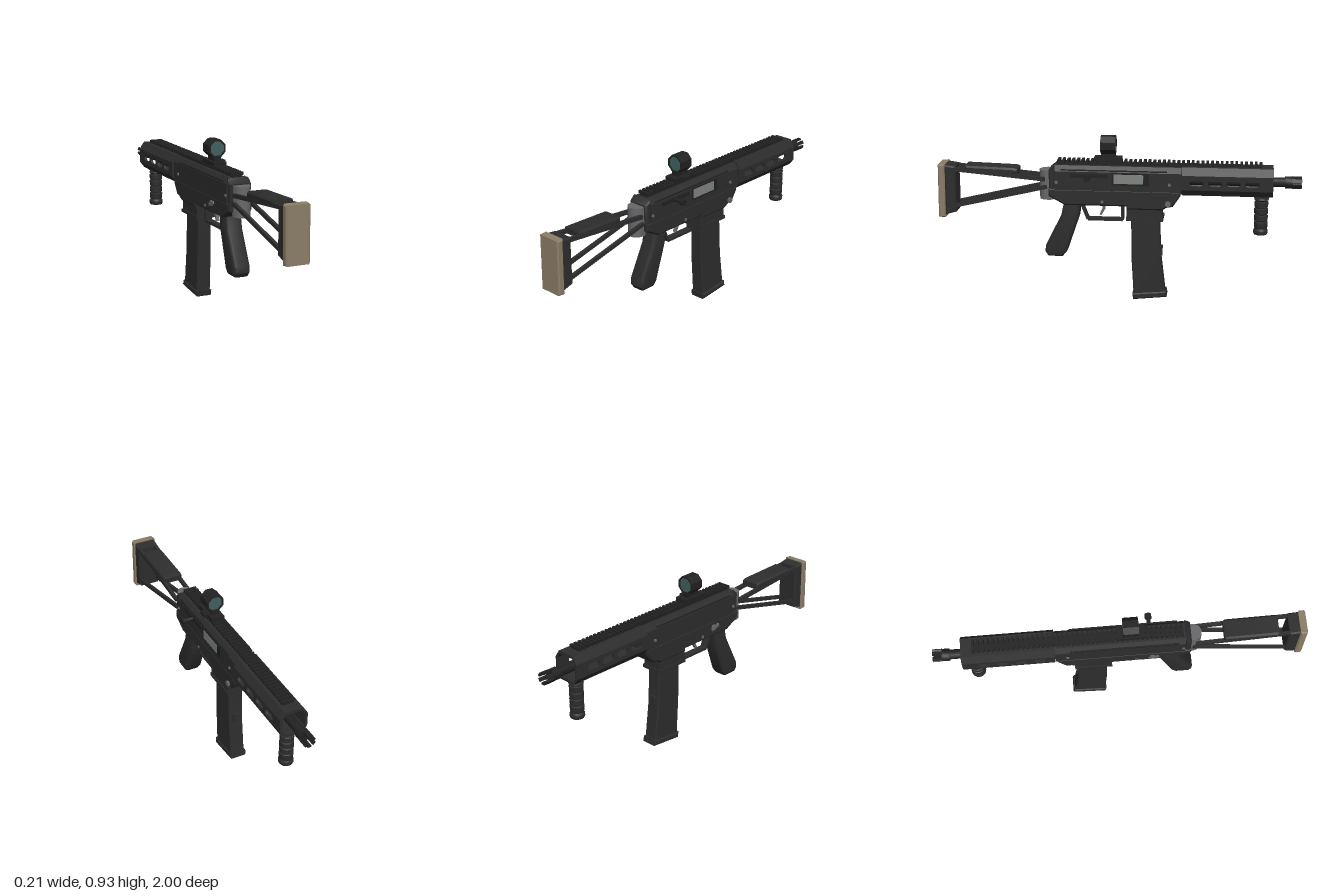
import * as THREE from 'three';
import { toCreasedNormals } from 'three/addons/utils/BufferGeometryUtils.js';

export function createModel() {
  const root = new THREE.Group();
  root.name = 'model';
  const body = new THREE.Group();
  body.name = 'carbine';
  body.position.x = -0.027;
  root.add(body);

  const mat = (name, color) => {
    const m = new THREE.MeshStandardMaterial({ color });
    m.name = name;
    return m;
  };
  const black = mat('matte black', 0x2d2d2e);
  const dark = mat('dark steel', 0x222223);
  const tan = mat('tan rubber', 0x8b7d67);
  const grey = mat('grey metal', 0x68686b);
  const bolt = mat('pale bolt metal', 0x7f8582);
  const glass = mat('teal glass', 0x41605f);

  const add = (name, geo, material, x = 0, y = 0, z = 0) => {
    const m = new THREE.Mesh(geo, material);
    m.name = name;
    m.position.set(x, y, z);
    body.add(m);
    return m;
  };
  const box = (name, material, w, h, d, x, y, z) =>
    add(name, new THREE.BoxGeometry(w, h, d), material, x, y, z);
  const toShape = (pts) => new THREE.Shape(pts.map((p) => new THREE.Vector2(p[0], p[1])));

  // Side outline of [z, y] points, extruded across x with chamfered edges
  const side = (name, material, shape, width, bevel = 0, x = 0, segments = 1) => {
    const s = Array.isArray(shape) ? toShape(shape) : shape;
    const g = new THREE.ExtrudeGeometry(s, {
      depth: width - 2 * bevel, bevelEnabled: bevel > 0, bevelSize: bevel,
      bevelThickness: bevel, bevelOffset: -bevel, bevelSegments: segments, curveSegments: 6,
    });
    g.translate(0, 0, -(width - 2 * bevel) / 2);
    g.rotateY(-Math.PI / 2);
    return add(name, toCreasedNormals(g, 0.6), material, x);
  };
  // Cross-section of [x, y] points, extruded from z0 to z1
  const along = (name, material, pts, z0, z1) =>
    add(name, new THREE.ExtrudeGeometry(toShape(pts), { depth: z1 - z0, bevelEnabled: false }), material, 0, 0, z0);
  // Cylinder with its axis along x, y or z
  const rod = (name, material, r, len, axis, x, y, z, n = 12) => {
    const g = new THREE.CylinderGeometry(r, r, len, n);
    if (axis === 'x') g.rotateZ(Math.PI / 2);
    if (axis === 'z') g.rotateX(Math.PI / 2);
    return add(name, toCreasedNormals(g, 0.7), material, x, y, z);
  };
  // Straight bar between two [z, y] points
  const beam = (name, material, a, b, w, h, x = 0) => {
    const dz = b[0] - a[0], dy = b[1] - a[1];
    const m = box(name, material, w, h, Math.hypot(dz, dy), x, (a[1] + b[1]) / 2, (a[0] + b[0]) / 2);
    m.rotation.x = -Math.atan2(dy, dz);
    return m;
  };

  // Folding stock
  side('buttPad', tan, [[0.995, 0.758], [0.957, 0.761], [0.962, 0.457], [1, 0.46]], 0.134, 0.007);
  side('buttPlate', black, [[0.962, 0.756], [0.9, 0.747], [0.9, 0.49], [0.962, 0.472]], 0.122, 0.008);
  side('cheekRest', black, [[0.845, 0.753], [0.57, 0.745], [0.553, 0.738], [0.553, 0.706], [0.845, 0.72]], 0.114, 0.01);
  for (const s of [-1, 1]) {
    beam('upperStockRail', black, [0.91, 0.733], [0.4, 0.687], 0.018, 0.022, s * 0.049);
    beam('lowerStockStrut', black, [0.91, 0.523], [0.39, 0.645], 0.018, 0.02, s * 0.049);
  }
  rod('hingeBarrel', grey, 0.046, 0.165, 'y', 0, 0.652, 0.39, 20);
  box('hingeBlock', grey, 0.092, 0.165, 0.03, 0, 0.652, 0.385);

  // Receiver
  along('upperReceiver', black,
    [[-0.066, 0.625], [0.066, 0.625], [0.066, 0.738], [0.044, 0.768], [-0.044, 0.768], [-0.066, 0.738]], -0.35, 0.345);
  side('receiverRear', black, [[0.345, 0.768], [0.378, 0.742], [0.378, 0.62], [0.345, 0.62]], 0.124, 0.008);
  side('lowerReceiver', black, [[0.38, 0.64], [0.38, 0.595], [0.29, 0.547], [-0.05, 0.547], [-0.05, 0.53],
    [-0.245, 0.53], [-0.27, 0.545], [-0.305, 0.552], [-0.345, 0.612], [-0.345, 0.64]], 0.136, 0.009);
  box('magazineWell', black, 0.112, 0.08, 0.195, 0, 0.51, -0.148);
  box('magazineWellLip', black, 0.124, 0.018, 0.204, 0, 0.474, -0.15);
  for (const s of [-1, 1]) {
    box('receiverRidge', dark, 0.008, 0.006, 0.58, s * 0.064, 0.746, 0.02);
    for (const [z, y] of [[0.335, 0.676], [-0.285, 0.676], [0.083, 0.572]])
      rod('pin', grey, 0.009, 0.006, 'x', s * 0.068, y, z, 10);
  }

  // Ejection port, charging handle and controls
  box('portFrame', dark, 0.004, 0.07, 0.205, 0.0665, 0.701, -0.072);
  box('boltFace', bolt, 0.004, 0.052, 0.162, 0.0685, 0.702, -0.062);
  box('handleSlot', dark, 0.004, 0.022, 0.21, 0.0665, 0.716, 0.157);
  rod('handleStem', dark, 0.011, 0.05, 'x', 0.082, 0.714, 0.16);
  rod('handleKnob', dark, 0.018, 0.028, 'x', 0.118, 0.714, 0.16);
  rod('magazineRelease', grey, 0.016, 0.016, 'x', 0.071, 0.57, -0.278, 10);
  rod('selectorHub', grey, 0.016, 0.014, 'x', -0.071, 0.602, 0.17, 10);
  beam('selectorLever', grey, [0.205, 0.613], [0.15, 0.592], 0.008, 0.016, -0.076);

  // Handguard: hollow eight-sided shell with slotted flanks
  const half = [[0.078, 0], [0.052, 1]];
  const shell = (name, y0, y1, t) => along(name, black, [
    [half[0][0], y0], [half[1][0], y1], [-half[1][0], y1], [-half[0][0], y0],
    [-half[0][0] + 0.014, y0], [-half[1][0] + 0.006, y1 - t], [half[1][0] - 0.006, y1 - t], [half[0][0] - 0.014, y0],
  ], -0.845, -0.352);
  shell('handguardTop', 0.732, 0.773, 0.014);
  shell('handguardBottom', 0.652, 0.617, -0.014);
  for (const s of [-1, 1]) {
    const flank = toShape([[-0.352, 0.652], [-0.352, 0.732], [-0.845, 0.732], [-0.845, 0.652]]);
    for (let i = 0; i < 4; i++) {
      const z = -0.432 - i * 0.1, slot = new THREE.Path();
      slot.absarc(z + 0.019, 0.692, 0.019, -Math.PI / 2, Math.PI / 2);
      slot.absarc(z - 0.019, 0.692, 0.019, Math.PI / 2, Math.PI * 1.5);
      flank.holes.push(slot);
    }
    side('handguardFlank', black, flank, 0.014, 0, s * 0.071);
  }

  // Barrel and pronged muzzle
  rod('barrel', dark, 0.026, 0.6, 'z', 0, 0.69, -0.64, 16);
  rod('muzzleCollar', dark, 0.033, 0.04, 'z', 0, 0.69, -0.93, 16);
  for (let i = 0; i < 6; i++) {
    const a = (i + 0.5) * Math.PI / 3;
    const prong = box('muzzleProng', dark, 0.02, 0.01, 0.052, Math.cos(a) * 0.028, 0.69 + Math.sin(a) * 0.028, -0.974);
    prong.rotation.z = a + Math.PI / 2;
  }

  // Toothed top rail
  box('railBase', dark, 0.052, 0.014, 1.12, 0, 0.772, -0.225);
  for (let i = 0; i < 43; i++)
    box('railTooth', dark, 0.074, 0.016, 0.0145, 0, 0.785, 0.327 - i * 0.0263);

  // Sight: clamp, post and octagonal tube with glass at both ends
  box('sightClamp', dark, 0.074, 0.02, 0.15, 0, 0.801, 0.055);
  box('sightClampLever', dark, 0.024, 0.018, 0.05, 0.044, 0.802, 0.055);
  box('sightPost', dark, 0.04, 0.034, 0.08, 0, 0.823, 0.054);
  const octagon = (r) => Array.from({ length: 8 }, (_, i) => {
    const a = (i + 0.5) * Math.PI / 4;
    return new THREE.Vector2(Math.cos(a) * r, Math.sin(a) * r);
  });
  const tube = new THREE.Shape(octagon(0.052));
  tube.holes.push(new THREE.Path(octagon(0.043)));
  add('sightTube', new THREE.ExtrudeGeometry(tube, { depth: 0.082, bevelEnabled: false }), dark, 0, 0.879, 0.013);
  for (const z of [0.019, 0.085])
    add('sightLens', new THREE.ExtrudeGeometry(new THREE.Shape(octagon(0.0435)), { depth: 0.004, bevelEnabled: false }),
      glass, 0, 0.879, z);

  // Pistol grip, trigger and guard
  side('pistolGrip', black, [[0.295, 0.57], [0.205, 0.57], [0.215, 0.475], [0.285, 0.27], [0.31, 0.24],
    [0.39, 0.24], [0.407, 0.265], [0.405, 0.3], [0.315, 0.48]], 0.096, 0.02, 0, 3);
  const guard = [[0.205, 0.55], [0.168, 0.457], [-0.025, 0.457], [-0.025, 0.54]];
  for (let i = 0; i < 3; i++) beam('triggerGuard', black, guard[i], guard[i + 1], 0.04, 0.014);
  side('trigger', grey, [[0.09, 0.56], [0.068, 0.56], [0.072, 0.515], [0.092, 0.48], [0.104, 0.482], [0.087, 0.52]], 0.018);

  // Curved magazine
  side('magazine', black, [[-0.075, 0.48], [-0.077, 0.25], [-0.09, 0.03], [-0.265, 0.045],
    [-0.24, 0.25], [-0.23, 0.48]], 0.082, 0.006);
  side('magazineFloorplate', black, [[-0.083, 0.036], [-0.088, 0.002], [-0.276, 0.022], [-0.271, 0.054]], 0.096, 0.006);
  box('magazineLug', black, 0.04, 0.05, 0.02, 0, 0.283, -0.238);

  // Ribbed front grip
  const profile = [[0, 0.395], [0.036, 0.395], [0.04, 0.403], [0.04, 0.418], [0.034, 0.428]];
  for (let i = 0; i < 4; i++) {
    const y = 0.437 + i * 0.038;
    profile.push([0.037, y], [0.038, y + 0.028], [0.033, y + 0.031], [0.033, y + 0.035]);
  }
  profile.push([0.04, 0.592], [0.036, 0.602], [0.03, 0.605], [0.03, 0.622], [0, 0.622]);
  const grip = new THREE.LatheGeometry(profile.map((p) => new THREE.Vector2(p[0], p[1])), 16);
  add('frontGrip', toCreasedNormals(grip, 0.6), black, 0, 0, -0.786);
  box('frontGripMount', black, 0.06, 0.02, 0.08, 0, 0.612, -0.786);

  return root;
}
